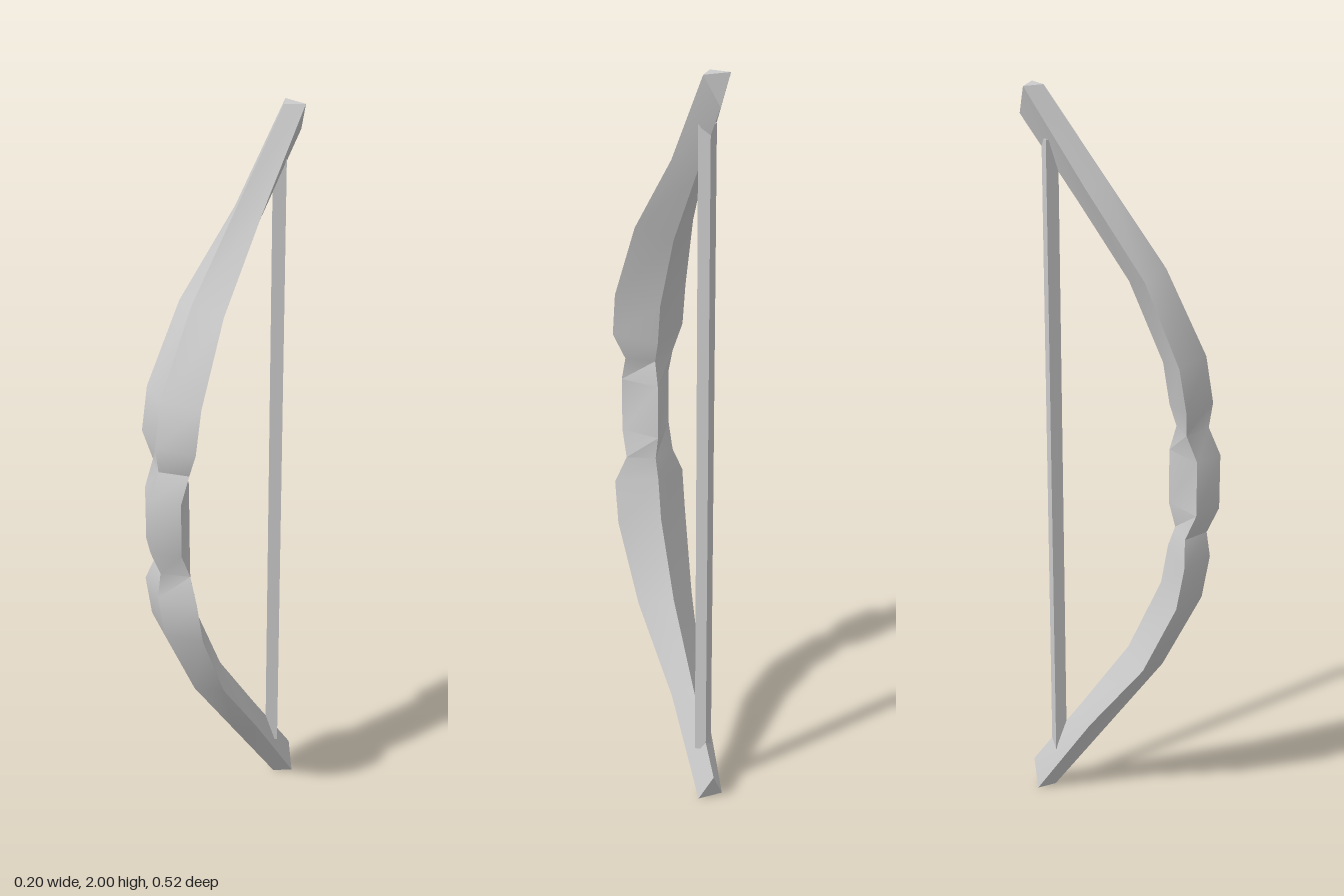
import * as THREE from 'three';
import { toCreasedNormals } from 'three/addons/utils/BufferGeometryUtils.js';

// Diamond cross-sections from the grip up to the tip:
// front ridge [y, z], side edge [half width, y, z], back ridge [y, z]
const UPPER = [
  [[1.075, 0.262], [0.068, 1.075, 0.217], [1.075, 0.127]],
  [[1.148, 0.23], [0.068, 1.146, 0.188], [1.143, 0.145]],
  [[1.217, 0.24], [0.1, 1.217, 0.195], [1.2, 0.126]],
  [[1.34, 0.22], [0.1, 1.335, 0.175], [1.312, 0.108]],
  [[1.56, 0.114], [0.08, 1.545, 0.08], [1.52, 0.018]],
  [[1.78, -0.042], [0.047, 1.76, -0.08], [1.72, -0.117]],
  [[2, -0.198], [0.035, 2, -0.239], [1.926, -0.261]],
];

// Skins four-cornered rings, listed from bottom to top, and caps both ends
function diamondLoft(sections) {
  const positions = [];
  for (const [[fy, fz], [w, sy, sz], [by, bz]] of sections) {
    positions.push(0, fy, fz, w, sy, sz, 0, by, bz, -w, sy, sz);
  }
  const index = [];
  for (let i = 0; i < sections.length - 1; i++) {
    for (let j = 0; j < 4; j++) {
      const a = i * 4 + j, b = i * 4 + (j + 1) % 4;
      index.push(a, b, b + 4, a, b + 4, a + 4);
    }
  }
  const t = (sections.length - 1) * 4;
  index.push(0, 3, 1, 1, 3, 2, t, t + 1, t + 3, t + 1, t + 2, t + 3);
  const geometry = new THREE.BufferGeometry();
  geometry.setAttribute('position', new THREE.Float32BufferAttribute(positions, 3));
  geometry.setIndex(index);
  return toCreasedNormals(geometry, 0.5);
}

// Reflects a section about mid height
const mirror = ([[fy, fz], [w, sy, sz], [by, bz]]) =>
  [[2 - fy, fz], [w, 2 - sy, sz], [2 - by, bz]];

export function createModel() {
  const group = new THREE.Group();
  group.name = 'bow';
  const material = new THREE.MeshStandardMaterial({ color: 0xcccccc });
  const add = (name, sections) => {
    const mesh = new THREE.Mesh(diamondLoft(sections), material);
    mesh.name = name;
    group.add(mesh);
  };

  // Grip and both limbs in one piece
  add('bowStave', [...UPPER.map(mirror).reverse(), ...UPPER]);

  // Straight string, its ends sunk into the limbs
  const stringEnd = [[1.87, -0.163], [0.024, 1.87, -0.187], [1.87, -0.206]];
  add('bowString', [mirror(stringEnd), stringEnd]);

  return group;
}
